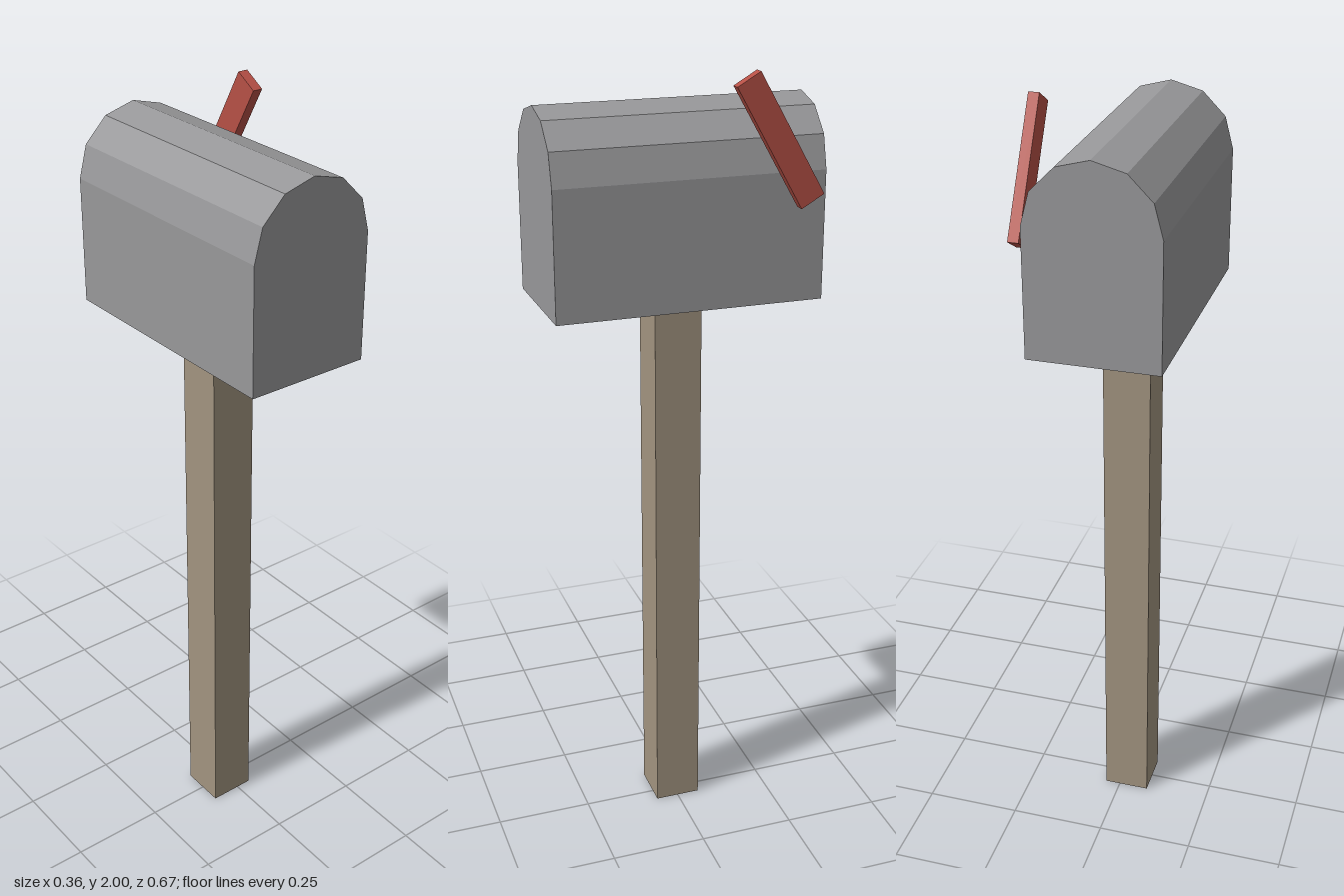
import * as THREE from 'three';

const material = (name, color) => {
  const m = new THREE.MeshStandardMaterial({ color, flatShading: true });
  m.name = name;
  return m;
};

export function createModel() {
  const metal = material('grey metal', 0x98989a);
  const wood = material('brown wood', 0xa29480);
  const red = material('red paint', 0xb65046);

  const group = new THREE.Group();
  group.name = 'mailbox';
  const add = (name, geometry, mat, x, y, z) => {
    const mesh = new THREE.Mesh(geometry, mat);
    mesh.name = name;
    mesh.position.set(x, y, z);
    group.add(mesh);
    return mesh;
  };

  // Square post
  const floorY = 1.445;
  add('post', new THREE.BoxGeometry(0.12, floorY, 0.12), wood, -0.02, floorY / 2, 0);

  // Box with a six-sided arched roof
  const radius = 0.16, springY = 1.76, depth = 0.666, sides = 6;
  const profile = new THREE.Shape();
  profile.moveTo(-radius, floorY);
  profile.lineTo(radius, floorY);
  for (let i = 0; i <= sides; i++) {
    const a = (i / sides) * Math.PI;
    profile.lineTo(radius * Math.cos(a), springY + radius * Math.sin(a));
  }
  profile.closePath();
  const body = new THREE.ExtrudeGeometry(profile, { depth, bevelEnabled: false });
  add('body', body, metal, -0.02, 0, -depth / 2);

  // Tilted signal flag, standing just off the left wall
  const flag = add('flag', new THREE.BoxGeometry(0.026, 0.332, 0.065), red, 0.166, 1.84, -0.201);
  flag.rotation.x = Math.PI / 6;

  return group;
}
